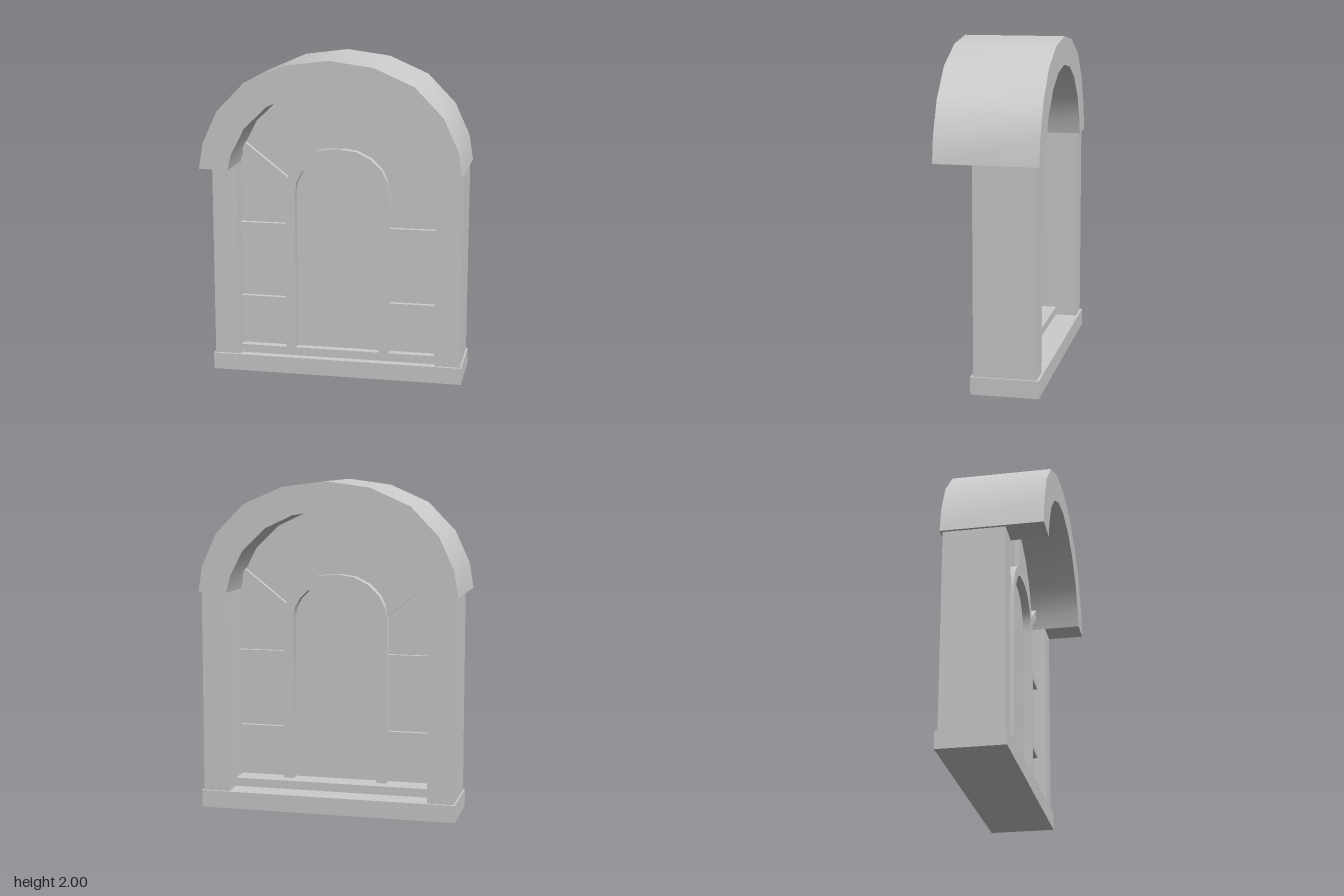
import * as THREE from 'three';
import { toCreasedNormals } from 'three/addons/utils/BufferGeometryUtils.js';

const material = new THREE.MeshStandardMaterial({ color: 0xcccccc });
const PANE_Z = -0.01;

// Right half of each outline, from its spring line up to the crown
const ROOF_OUTER = [[0.79, 1.335], [0.765, 1.49], [0.675, 1.685], [0.505, 1.86], [0.265, 1.965], [0, 2]];
const ROOF_INNER = [[0.615, 1.33], [0.59, 1.43], [0.51, 1.585], [0.37, 1.72], [0.2, 1.8], [0, 1.83]];
const DOOR_OUTER = [[0.325, 1.16], [0.312, 1.235], [0.275, 1.31], [0.21, 1.375], [0.12, 1.42], [0, 1.435]];
const DOOR_INNER = [[0.262, 1.16], [0.25, 1.225], [0.22, 1.28], [0.17, 1.33], [0.1, 1.36], [0, 1.37]];

// Mirrors a half outline into a full arch running from +x to -x
function mirrored(half) {
  return [...half, ...half.slice(0, -1).reverse().map(([x, y]) => [-x, y])];
}

function withLegs(half, y) {
  return [[half[0][0], y], ...half];
}

function extrude(group, name, points, z0, z1) {
  const shape = new THREE.Shape(points.map(([x, y]) => new THREE.Vector2(x, y)));
  const geometry = new THREE.ExtrudeGeometry(shape, { depth: z1 - z0, bevelEnabled: false });
  geometry.translate(0, 0, z0);
  const mesh = new THREE.Mesh(toCreasedNormals(geometry, 0.6), material);
  mesh.name = name;
  group.add(mesh);
}

function box(group, name, [x0, x1], [y0, y1], [z0, z1]) {
  const mesh = new THREE.Mesh(new THREE.BoxGeometry(x1 - x0, y1 - y0, z1 - z0), material);
  mesh.position.set((x0 + x1) / 2, (y0 + y1) / 2, (z0 + z1) / 2);
  mesh.name = name;
  group.add(mesh);
  return mesh;
}

export function createModel() {
  const group = new THREE.Group();
  group.name = 'archedWindow';
  const barDepth = [-0.045, 0.025];

  // Base slab and the stepped sill on it
  box(group, 'base', [-0.785, 0.785], [0, 0.105], [-0.305, 0.095]);
  box(group, 'sill', [-0.615, 0.615], [0.105, 0.157], [-0.155, 0.045]);

  // Arched canopy, deeper than the posts
  extrude(group, 'archCanopy',
    [...mirrored(ROOF_OUTER), ...mirrored(ROOF_INNER).reverse()], -0.305, 0.305);

  // Thin pane filling the whole opening
  extrude(group, 'pane', mirrored(withLegs(ROOF_INNER, 0.105)), PANE_Z - 0.005, PANE_Z + 0.005);

  // Inner arched frame standing on the sill
  extrude(group, 'innerFrame',
    [...mirrored(withLegs(DOOR_OUTER, 0.157)), ...mirrored(withLegs(DOOR_INNER, 0.157)).reverse()],
    -0.08, 0.045);

  // Vertical bar at the crown
  box(group, 'crownBar', [-0.025, 0.025], [1.42, 1.84], barDepth);

  for (const side of [-1, 1]) {
    const name = side > 0 ? 'left' : 'right';
    const span = (a, b) => (side > 0 ? [a, b] : [-b, -a]);

    // Side post
    box(group, name + 'Post', span(0.615, 0.775), [0.105, 1.335], [-0.29, 0.08]);

    // Horizontal bars
    for (const y of [0.45, 0.925]) {
      box(group, name + 'Bar', span(0.31, 0.62), [y - 0.025, y + 0.025], barDepth);
    }

    // Slanted bar from the inner frame to the canopy
    const bar = box(group, name + 'SlantedBar', [-0.19, 0.19], [-0.026, 0.026], barDepth);
    bar.position.set(side * 0.45, 1.32, PANE_Z);
    bar.rotation.z = side * Math.atan2(0.22, 0.28);
  }

  return group;
}
